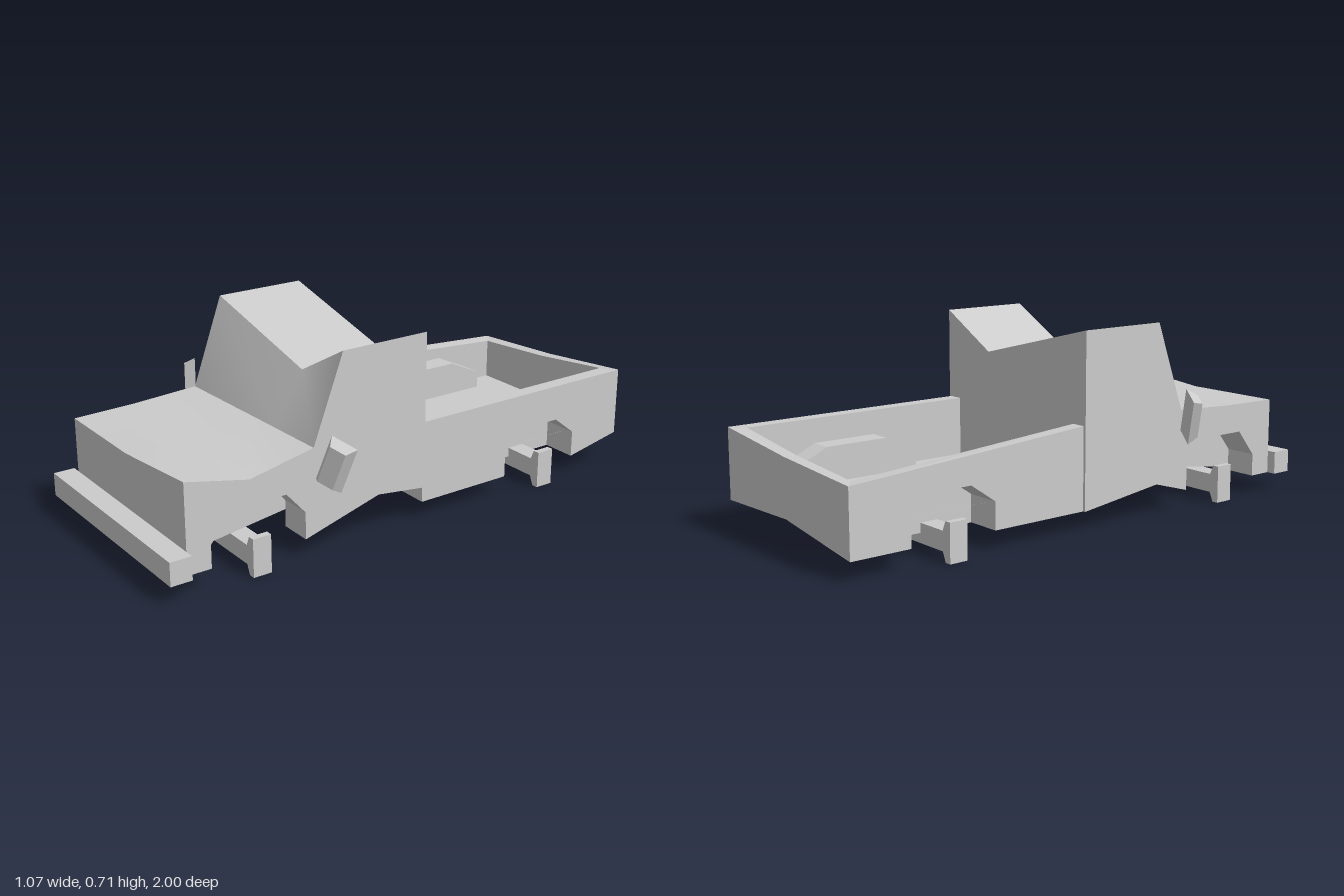
import * as THREE from 'three';

const flatMaterial = new THREE.MeshStandardMaterial({ color: 0xcccccc, flatShading: true, side: THREE.DoubleSide });
const smoothMaterial = new THREE.MeshStandardMaterial({ color: 0xcccccc, side: THREE.DoubleSide });

export function createModel() {
  const truck = new THREE.Group();
  truck.name = 'pickupTruck';
  let parent = truck;

  const group = (name) => {
    parent = new THREE.Group();
    parent.name = name;
    truck.add(parent);
  };
  const add = (name, geometry, material = flatMaterial) => {
    const mesh = new THREE.Mesh(geometry, material);
    mesh.name = name;
    parent.add(mesh);
    return mesh;
  };
  const toShape = (points) => new THREE.Shape(points.map(([a, b]) => new THREE.Vector2(a, b)));

  // Sheet through rows of [x, y, z] points
  const sheet = (name, rows, material) => {
    const n = rows[0].length, index = [];
    for (let r = 0; r < rows.length - 1; r++) {
      for (let c = 0; c < n - 1; c++) {
        const a = r * n + c, b = a + n;
        index.push(a, b, a + 1, a + 1, b, b + 1);
      }
    }
    const g = new THREE.BufferGeometry();
    g.setAttribute('position', new THREE.Float32BufferAttribute(rows.flat(2), 3));
    g.setIndex(index);
    g.computeVertexNormals();
    return add(name, g, material);
  };
  // Upright panel from a [z, y] outline at a fixed x
  const panel = (name, outline, x) => {
    const g = new THREE.ShapeGeometry(toShape(outline));
    g.rotateY(-Math.PI / 2);
    g.translate(x, 0, 0);
    return add(name, g);
  };
  // Strip sweeping a [z, y] profile between two x positions
  const strip = (name, profile, x0, x1) =>
    sheet(name, [x0, x1].map((x) => profile.map(([z, y]) => [x, y, z])));
  // Level sheet with rectangular holes, rectangles as [x0, x1, z0, z1]
  const level = (name, rect, holes, y) => {
    const corners = ([x0, x1, z0, z1]) => [[x0, -z0], [x1, -z0], [x1, -z1], [x0, -z1]];
    const s = toShape(corners(rect));
    s.holes = holes.map((h) => toShape(corners(h)));
    const g = new THREE.ShapeGeometry(s);
    g.rotateX(-Math.PI / 2);
    g.translate(0, y, 0);
    return add(name, g);
  };
  // Grid row at depth z from lists of x and y
  const row = (xs, ys, z) => xs.map((x, i) => [x, ys[i], z]);

  // Cab: dented side panels around the front wheel arches
  group('cab');
  const W = 0.395, B = -0.04, low = 0.07;
  const frontArch = [[0.83, low], [0.83, 0.155], [0.75, 0.255], [0.54, 0.255], [0.465, 0.17], [0.465, low]];
  panel('cabLeftSide', [[0.92, low], ...frontArch, [0.16, 0.155], [B, 0.13],
    [B, 0.71], [0.31, 0.71], [0.43, 0.395], [0.68, 0.345], [0.92, 0.397]], W);
  panel('cabRightSide', [[0.92, low], ...frontArch, [0.31, 0.115], [B, low],
    [B, 0.71], [0.31, 0.71], [0.43, 0.378], [0.68, 0.365], [0.92, 0.36]], -W);

  // Hood, nose, windshield, creased roof and rear wall
  const third = [-W, 0, W], roofX = [-W, 0.15, W], roofY = [0.71, 0.575, 0.71];
  const hoodFront = row(third, [0.36, 0.36, 0.397], 0.92);
  sheet('hood', [hoodFront, row(third, [0.365, 0.363, 0.345], 0.68), row(third, [0.378, 0.387, 0.395], 0.43)], smoothMaterial);
  sheet('nose', [row(third, [low, low, low], 0.92), hoodFront]);
  sheet('windshield', [row(roofX, [0.378, 0.39, 0.395], 0.43), row(roofX, roofY, 0.31)], smoothMaterial);
  sheet('roof', [row(roofX, roofY, 0.31), row(roofX, roofY, B)]);
  sheet('cabBack', [row(roofX, roofY, B), row(roofX, [low, 0.11, 0.13], B)]);

  // Bent cab floor
  const F = 0.27, floorX = [-W, -F, F, W];
  sheet('cabFloorFront', [row(floorX, [low, low, low, low], 0.92), row(floorX, [low, 0.085, 0.085, low], 0.83)]);
  sheet('cabFloorMiddle', [row([-F, F], [0.085, 0.085], 0.83), row([-F, F], [0.135, 0.135], 0.465)]);
  sheet('cabFloorRear', [
    row(floorX, [low, 0.135, 0.135, low], 0.465),
    row(floorX, [0.115, 0.13, 0.13, 0.115], 0.31),
    row(floorX, [0.1, 0.12, 0.15, 0.155], 0.16),
    row(floorX, [low, 0.09, 0.115, 0.13], B),
  ]);

  // Front wheel wells
  const wellWall = [[0.83, 0.085], ...frontArch.slice(1, 5), [0.465, 0.135]];
  for (const s of [-1, 1]) {
    strip('frontWellLiner', frontArch, s * W, s * F);
    panel('frontWellWall', wellWall, s * F);
  }

  // Cargo bed: outer shell and hollow interior, with the right rear corner sagging
  group('cargoBed');
  const X = 0.385, IN = 0.33, HX = 0.245, top = 0.375, deck = 0.155;
  const rearArch = [[-0.43, low], [-0.43, 0.17], [-0.53, 0.24], [-0.68, 0.24], [-0.77, 0.17], [-0.77, low]];
  const housing = [[-0.31, deck], [-0.31, 0.22], [-0.44, 0.285], [-0.69, 0.285], [-0.83, 0.22], [-0.83, deck]];
  for (const s of [-1, 1]) {
    const bottom = s > 0 ? 0.115 : low, rear = s > 0 ? top : 0.31;
    panel('bedSide', [[B, low], ...rearArch, [-1, bottom], [-1, rear], [B, top]], s * X);
    panel('bedInnerSide', [[B, deck], ...housing, [-0.955, deck], [-0.955, rear], [B, top]], s * IN);
    strip('wheelHousing', housing, s * IN, s * HX);
    panel('wheelHousingSide', housing, s * HX);
    strip('rearWellLiner', rearArch, s * X, s * HX);
    panel('rearWellWall', rearArch, s * (HX + 0.005));
  }

  // Rim and tailgate follow the sag
  const tailTop = [0.31, 0.335, top], tailLow = [low, 0.125, 0.115];
  const outer = [-X, 0, X], inner = [-IN, 0, IN];
  const rimLoop = (xs, z) => [[xs[0], top, B], ...row(xs, tailTop, z), [xs[2], top, B]];
  sheet('bedRim', [rimLoop(outer, -1), rimLoop(inner, -0.955)]);
  sheet('tailgate', [row(outer, tailTop, -1), row(outer, tailLow, -1)]);
  sheet('tailgateInside', [row(inner, tailTop, -0.955), row(inner, [deck, deck, deck], -0.955)]);

  // Bed floor and underside
  level('bedFloor', [-IN, IN, -0.955, B], [[-IN + 0.001, -HX, -0.83, -0.31], [HX, IN - 0.001, -0.83, -0.31]], deck);
  level('bedUndersideFront', [-X, X, -0.43, B], [], low);
  level('bedUndersideMiddle', [-HX, HX, -0.77, -0.43], [], low);
  sheet('bedUndersideRear', [row(outer, [low, low, low], -0.77), row(outer, tailLow, -1)]);
  sheet('bedFront', [row([-X, X], [deck, deck], B), row([-X, X], [low, low], B)]);

  // Axle beams with flared end plates
  group('axles');
  const half = [[0.375, 0.035], [0.39, 0], [0.415, 0], [0.415, 0.14], [0.39, 0.14], [0.375, 0.105]];
  const beam = [...half, ...half.map(([x, y]) => [-x, y]).reverse()];
  for (const [name, z] of [['frontAxle', 0.65], ['rearAxle', -0.605]]) {
    const g = new THREE.ExtrudeGeometry(toShape(beam), { depth: 0.07, bevelEnabled: false });
    add(name, g).position.z = z - 0.035;
  }

  // Front bumper
  parent = truck;
  add('frontBumper', new THREE.BoxGeometry(0.86, 0.086, 0.08)).position.set(0, 0.113, 0.96);

  // Door mirrors: tapered blocks leaning outward
  for (const s of [-1, 1]) {
    const g = new THREE.BoxGeometry(0.1, 0.175, 0.04);
    const p = g.attributes.position;
    for (let i = 0; i < p.count; i++) {
      if (p.getZ(i) > 0) p.setXY(i, p.getX(i) * 0.6, p.getY(i) * 0.8);
    }
    g.computeVertexNormals();
    const mirror = add(s > 0 ? 'leftMirror' : 'rightMirror', g);
    mirror.position.set(s * 0.476, s > 0 ? 0.35 : 0.368, 0.405);
    mirror.rotation.set(0, s * 0.5, s * -0.35);
  }

  return truck;
}
